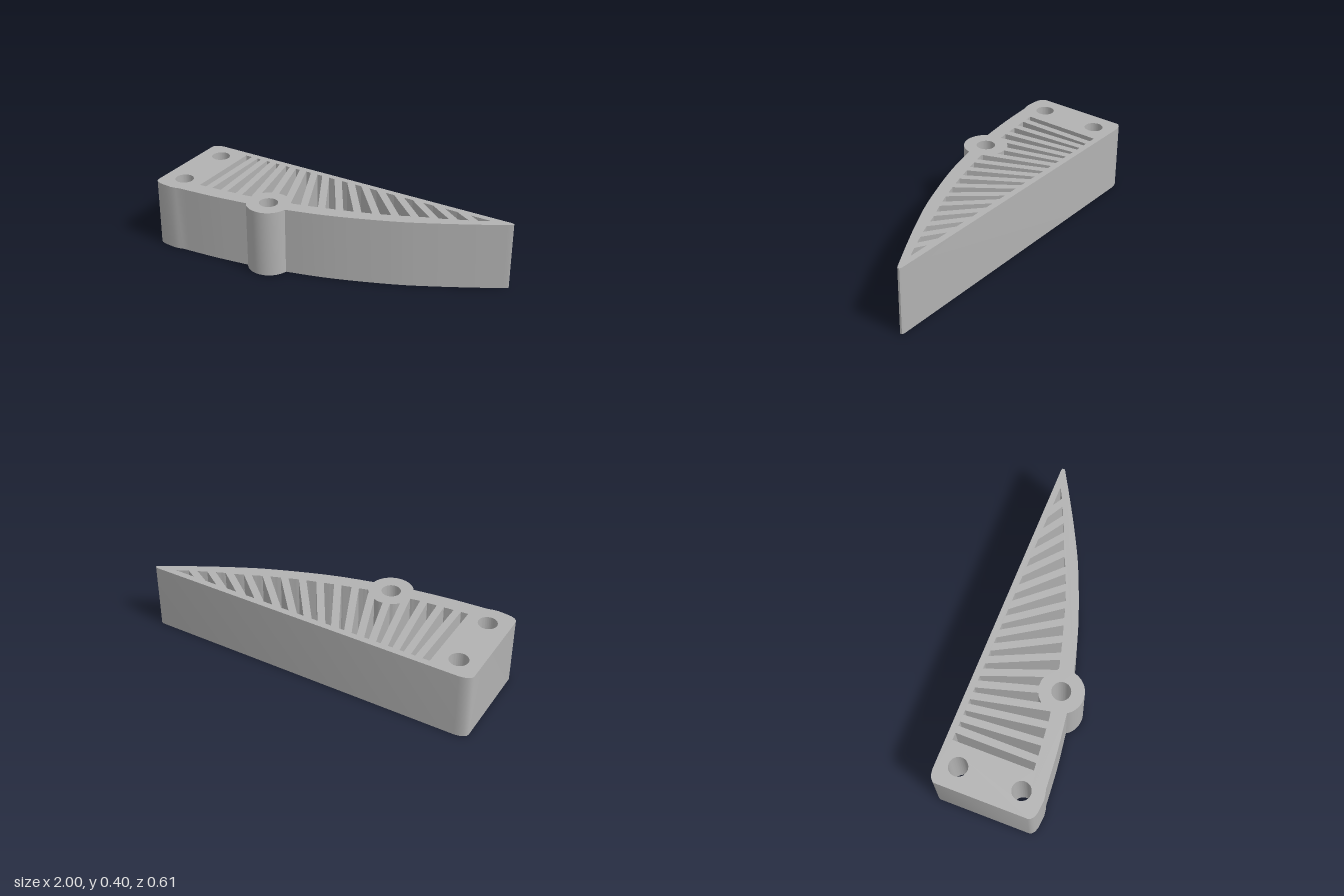
import * as THREE from 'three';
import { toCreasedNormals } from 'three/addons/utils/BufferGeometryUtils.js';

const HEIGHT = 0.4;
const BACK = -0.27; // inner edge of the back wall
const BOSS = { x: -0.283, z: 0.18, r: 0.127 };
const BARS = 16, BAR_WIDTH = 0.042;

// plan coordinates (x, z) become shape coordinates (x, -z)
const pt = (x, z) => new THREE.Vector2(x, -z);
const spline = (pts, n) => new THREE.SplineCurve(pts.map(([x, z]) => pt(x, z))).getPoints(n);

// inner edge of the curved front wall
const INNER = [[-0.75, 0.2], [-0.46, 0.174], [-0.2, 0.13], [0, 0.078], [0.2, 0.018], [0.32, -0.025],
  [0.42, -0.065], [0.53, -0.115], [0.64, -0.156], [0.8, -0.228], [0.88, -0.27], [1.1, -0.38]];
function innerZ(x) {
  let i = 1;
  while (i < INNER.length - 1 && x > INNER[i][0]) i++;
  const [x0, z0] = INNER[i - 1], [x1, z1] = INNER[i];
  return z0 + (z1 - z0) * (x - x0) / (x1 - x0);
}
function inCell(x, z) {
  return z < innerZ(x) && Math.hypot(x - BOSS.x, z - BOSS.z) > BOSS.r;
}

// one side of a fan bar, as x = x0 + slope * (z - z0)
function barSide(k, side) {
  const angle = THREE.MathUtils.degToRad(4 * k);
  const x = -0.684 + 0.0984 * k;
  return { x: x + side * BAR_WIDTH / 2 / Math.cos(angle), z: innerZ(x), slope: Math.tan(angle) };
}
const xAt = (line, z) => line.x + line.slope * (z - line.z);

// opening between two lines, ending at the front wall or the boss
function cell(left, right) {
  const points = [];
  const N = 8;
  for (let i = 0; i <= N; i++) {
    const t = i / N;
    const at = z => THREE.MathUtils.lerp(xAt(left, z), xAt(right, z), t);
    let z = BACK;
    while (z < 0.3 && inCell(at(z + 0.001), z + 0.001)) z += 0.001;
    points.push(pt(at(z), z));
  }
  points.push(pt(xAt(right, BACK), BACK), pt(xAt(left, BACK), BACK));
  // drop repeated corners
  const unique = points.filter((p, i) => p.distanceTo(points[(i + 1) % points.length]) > 1e-4);
  return new THREE.Path(unique);
}

function roundHole(x, z, r) {
  return new THREE.Path().absarc(x, -z, r, 0, Math.PI * 2, true);
}

function outline() {
  const pts = [];
  // rounded back corner and front corner of the mounting end
  pts.push(pt(-0.93, -0.307), pt(-0.955, -0.304), pt(-0.98, -0.295), pt(-0.995, -0.282), pt(-1, -0.27));
  pts.push(pt(-1, 0.262), pt(-0.994, 0.278), pt(-0.98, 0.291), pt(-0.955, 0.3), pt(-0.92, 0.304),
    pt(-0.875, 0.307), pt(-0.845, 0.303));
  pts.push(...spline([[-0.82, 0.296], [-0.6, 0.278], [-0.387, 0.25]], 8));
  // boss bulge
  for (let i = 1; i <= 24; i++) {
    const a = THREE.MathUtils.degToRad(144 - (144 - 12) * i / 24);
    pts.push(pt(BOSS.x + BOSS.r * Math.cos(a), BOSS.z + BOSS.r * Math.sin(a)));
  }
  // long curved front to the tip
  pts.push(...spline([[-0.158, 0.203], [0.02, 0.157], [0.2, 0.098], [0.45, 0], [0.64, -0.092],
    [0.82, -0.188], [0.99, -0.283]], 32));
  pts.push(pt(1, -0.291), pt(0.998, -0.302), pt(0.985, -0.307));
  return new THREE.Shape(pts);
}

export function createModel() {
  const gray = new THREE.MeshStandardMaterial({ color: 0xb2b2b2 });
  gray.name = 'gray';

  const shape = outline();
  shape.holes.push(
    roundHole(-0.873, -0.184, 0.054),
    roundHole(-0.873, 0.178, 0.054),
    roundHole(BOSS.x, 0.178, 0.054));

  // fan of openings between the slanted bars
  const first = { x: -0.747, z: 0, slope: 0 };
  const last = { x: 0.877, z: BACK, slope: 0 };
  for (let k = 0; k <= BARS; k++) {
    shape.holes.push(cell(
      k === 0 ? first : barSide(k - 1, 1),
      k === BARS ? last : barSide(k, -1)));
  }

  const raw = new THREE.ExtrudeGeometry(shape, { depth: HEIGHT, bevelEnabled: false, curveSegments: 32 });
  raw.rotateX(-Math.PI / 2);
  const body = new THREE.Mesh(toCreasedNormals(raw, 0.5), gray);
  body.name = 'ribbedBracket';

  const group = new THREE.Group();
  group.name = 'finBracket';
  group.add(body);
  return group;
}
